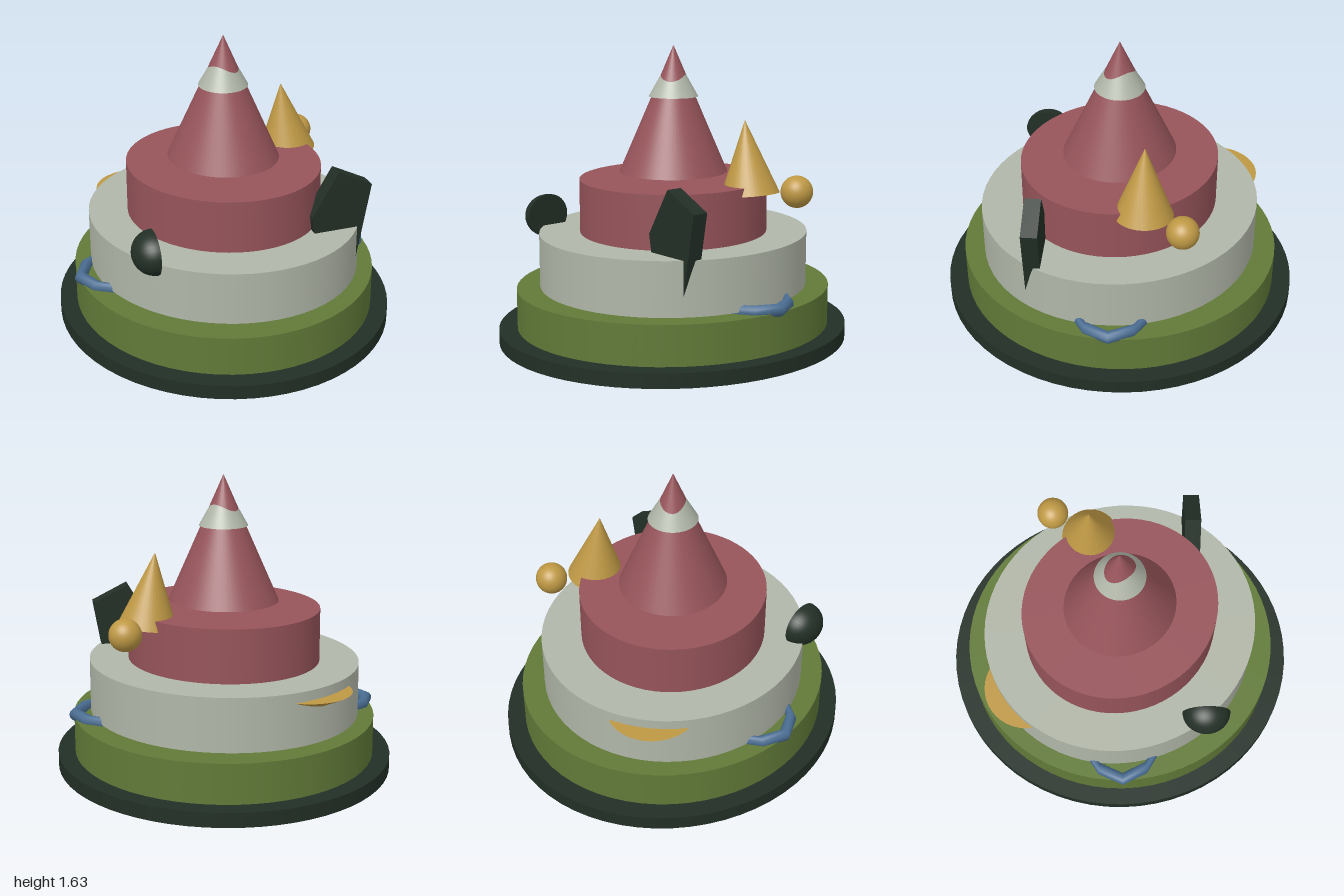
import * as THREE from 'three';

const mat = (name, color, side = THREE.FrontSide) => {
  const m = new THREE.MeshStandardMaterial({ color, side });
  m.name = name;
  return m;
};

export function createModel() {
  const group = new THREE.Group();
  const dark = mat('dark green', 0x222f26);
  const green = mat('moss green', 0x617a38);
  const stone = mat('pale stone', 0xb0b6a8);
  const red = mat('dusty red', 0x96545a);
  const gold = mat('gold', 0xbe9844);
  const blue = mat('blue', 0x4a6d92);

  const add = (name, geometry, material, x = 0, y = 0, z = 0) => {
    const mesh = new THREE.Mesh(geometry, material);
    mesh.name = name;
    mesh.position.set(x, y, z);
    group.add(mesh);
    return mesh;
  };

  // Oval tier or cone between two heights, turned about the vertical axis
  const tier = (name, material, rx, rz, y0, y1, turn = 0, top = 1) => {
    const geo = new THREE.CylinderGeometry(top, 1, y1 - y0, 64);
    const mesh = add(name, geo, material, 0, (y0 + y1) / 2, 0);
    mesh.scale.set(rx, 1, rz);
    mesh.rotation.y = turn;
    return mesh;
  };

  // Stacked tiers and the spire
  tier('basePlate', dark, 0.935, 1.0, 0, 0.08);
  tier('lowerTier', green, 0.84, 0.895, 0.08, 0.3);
  tier('middleTier', stone, 0.736, 0.783, 0.31, 0.605, 0.42);
  tier('upperTier', red, 0.517, 0.553, 0.605, 0.9, 0.57);
  tier('spire', red, 0.297, 0.315, 0.935, 1.63, 0.55, 0);
  tier('spireCollar', stone, 0.135, 0.137, 1.35, 1.592, 0, 0);

  // Flattened ring whose ends stick out as side handles
  const ring = new THREE.TorusGeometry(0.835, 0.035, 12, 16).rotateX(Math.PI / 2);
  add('handleRing', ring, blue, 0, 0.311, 0).scale.z = 0.42;

  // Leaning gold cone and ball on the left
  const cone = add('smallCone', new THREE.ConeGeometry(0.16, 0.4, 32), gold, 0.423, 1.045, -0.16);
  cone.rotation.z = 0.115;
  add('ball', new THREE.SphereGeometry(0.088, 32, 20), gold, 0.59, 0.853, -0.372);

  // Shallow inverted cone half sunk in the back of the middle tier
  const dish = add('backDish', new THREE.ConeGeometry(0.24, 0.12, 40), gold, -0.35, 0.49, -0.535);
  dish.rotation.x = Math.PI;

  // Half dome on the right, flat face toward the centre
  const domeProfile = [];
  for (let i = 0; i <= 16; i++) {
    const a = (i / 16) * Math.PI / 2;
    domeProfile.push(new THREE.Vector2(Math.cos(a), Math.sin(a)));
  }
  domeProfile[16].x = 0;
  const dome = new THREE.Group();
  dome.name = 'sideDome';
  const shell = new THREE.Mesh(new THREE.LatheGeometry(domeProfile, 32), dark);
  shell.name = 'domeShell';
  const face = new THREE.Mesh(new THREE.CircleGeometry(1, 32).rotateX(Math.PI / 2), dark);
  face.name = 'domeFace';
  dome.add(shell, face);
  dome.rotation.z = Math.PI / 2;
  dome.scale.set(0.121, 0.122, 0.133);
  dome.position.set(-0.545, 0.66, 0.468);
  group.add(dome);

  // Five-sided slab standing in the front left of the middle tier
  const outline = [[0.345, 0.7], [0.39, 0.45], [0.615, 0.42], [0.69, 0.85], [0.49, 0.95]];
  const slabShape = new THREE.Shape(outline.map(([x, y]) => new THREE.Vector2(x, y)));
  const slab = new THREE.ExtrudeGeometry(slabShape, { depth: 0.09, bevelEnabled: false });
  add('slab', slab, dark, 0, 0, 0.375);

  return group;
}
